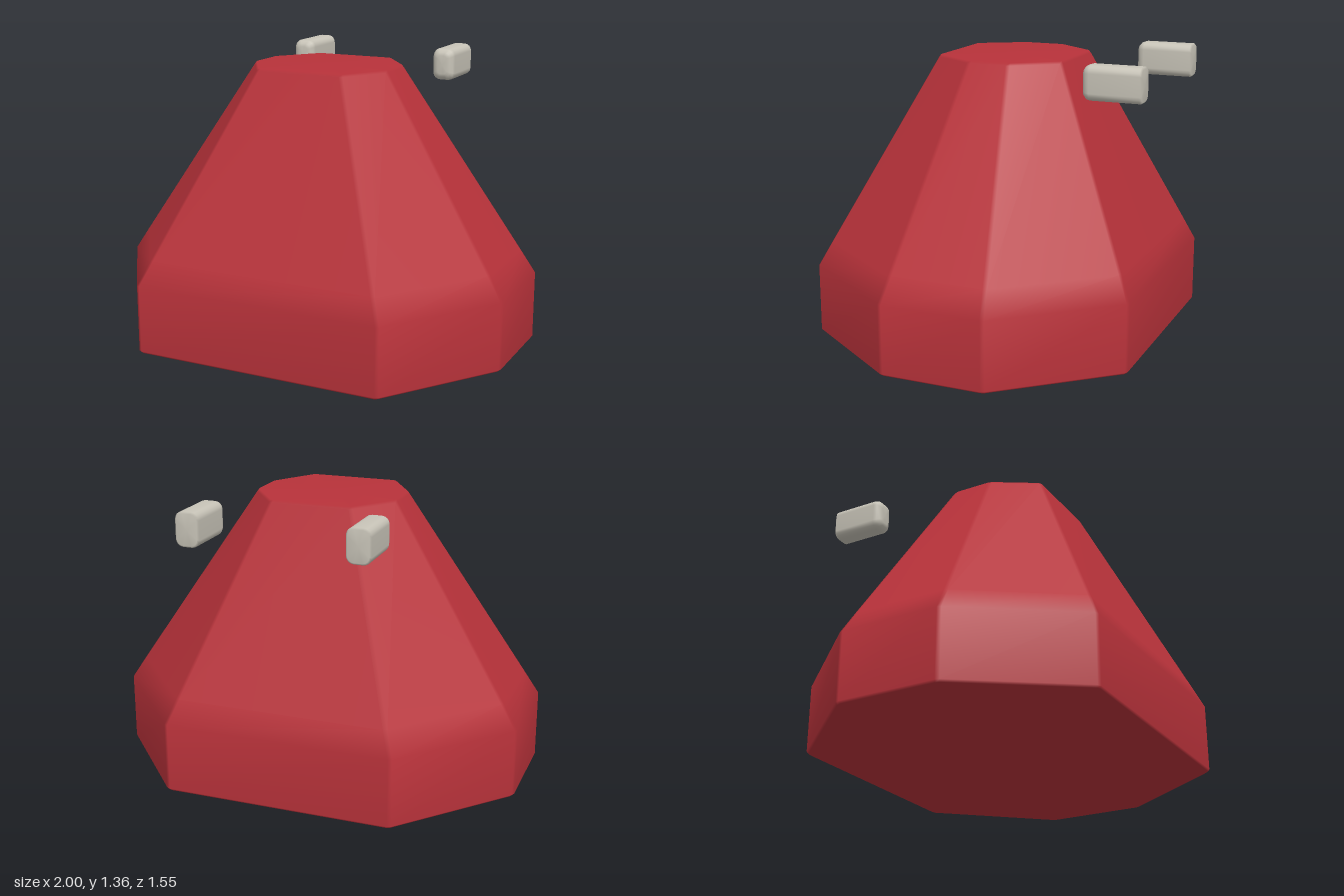
import * as THREE from 'three';

// Skin a stack of equal-sized rings and close both ends.
function loft(rings) {
  const n = rings[0].length, pos = [], index = [];
  rings.forEach(r => r.forEach(p => pos.push(p.x, p.y, p.z)));
  for (let i = 0; i < rings.length - 1; i++) {
    for (let j = 0; j < n; j++) {
      const k = (j + 1) % n, a = i * n + j, b = i * n + k;
      index.push(a, b, b + n, a, b + n, a + n);
    }
  }
  [0, rings.length - 1].forEach(i => {
    const c = new THREE.Vector3();
    rings[i].forEach(p => c.addScaledVector(p, 1 / n));
    const m = pos.length / 3;
    pos.push(c.x, c.y, c.z);
    for (let j = 0; j < n; j++) {
      const a = i * n + j, b = i * n + (j + 1) % n;
      if (i === 0) index.push(m, b, a);
      else index.push(m, a, b);
    }
  });
  const g = new THREE.BufferGeometry();
  g.setAttribute('position', new THREE.Float32BufferAttribute(pos, 3));
  g.setIndex(index);
  g.computeVertexNormals();
  return g;
}

// Eight-sided footprint and rim as (x, z) corners of the +x half, front to back.
const FOOT = [[0.62, 0.775], [1, 0.23], [1, -0.27], [0.55, -0.777]];
const RIM = [[0.22, 0.31], [0.355, 0.09], [0.355, -0.11], [0.2, -0.317]];

// Octagon between foot (t = 0) and rim (t = 1), with narrow bevelled corners.
function octagon(y, t, scale = 1) {
  const half = FOOT.map(([x, z], i) => new THREE.Vector3(
    scale * THREE.MathUtils.lerp(x, RIM[i][0], t), y,
    scale * THREE.MathUtils.lerp(z, RIM[i][1], t)));
  const mirrored = half.map(p => new THREE.Vector3(-p.x, p.y, p.z)).reverse();
  const corners = [...half, ...mirrored];
  return corners.flatMap((p, i) => [corners[(i + 7) % 8], corners[(i + 1) % 8]].map(
    q => p.clone().addScaledVector(q.clone().sub(p).normalize(), 0.011)));
}

// Rounded rectangle in x and y at depth z, shrunk by an inset.
function padSection(z, inset) {
  const w = 0.0575 - inset, h = 0.08 - inset, r = 0.036 - inset * 0.6, ring = [];
  for (let q = 0; q < 4; q++) {
    const sx = q === 0 || q === 3 ? 1 : -1, sy = q < 2 ? 1 : -1;
    for (let s = 0; s <= 4; s++) {
      const a = (q + s / 4) * Math.PI / 2;
      ring.push(new THREE.Vector3(
        sx * (w - r) + r * Math.cos(a), sy * (h - r) + r * Math.sin(a), z));
    }
  }
  return ring;
}

export function createModel() {
  const group = new THREE.Group();
  const red = new THREE.MeshStandardMaterial({ color: 0xb8323a });
  red.name = 'red';
  const ivory = new THREE.MeshStandardMaterial({ color: 0xc8c4b8 });
  ivory.name = 'ivory';

  // Upright skirt, sloping sides and flat top
  const body = new THREE.Mesh(loft([
    octagon(0, 0, 0.99), octagon(0.01, 0, 1), octagon(0.335, 0),
    octagon(0.45, 0.115), octagon(1.322, 1), octagon(1.333, 1, 0.975),
  ]), red);
  body.name = 'body';
  group.add(body);

  // Two floating pads at the upper back
  const padGeometry = loft([
    padSection(-0.777, 0.008), padSection(-0.769, 0), padSection(-0.537, 0),
    padSection(-0.519, 0.005), padSection(-0.506, 0.018), padSection(-0.501, 0.034),
  ]);
  for (const side of [1, -1]) {
    const pad = new THREE.Mesh(padGeometry, ivory);
    pad.name = side > 0 ? 'leftPad' : 'rightPad';
    pad.position.set(side * 0.397, 1.284, 0);
    group.add(pad);
  }
  return group;
}
